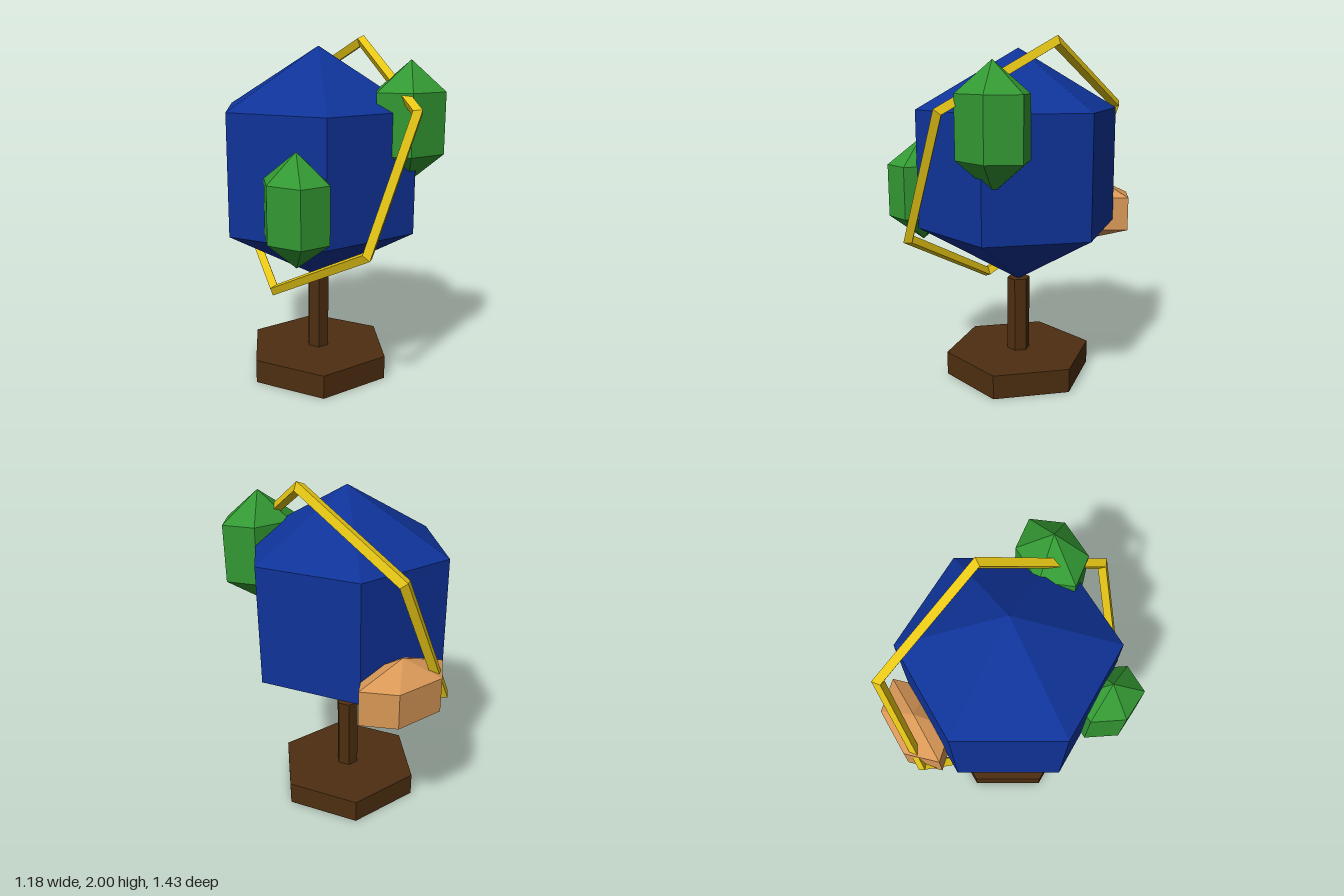
import * as THREE from 'three';

const paint = (name, color) => {
  const material = new THREE.MeshStandardMaterial({ color });
  material.name = name;
  return material;
};

// Split shared vertices so every face is flat
const faceted = (geometry) => {
  const g = geometry.toNonIndexed();
  g.computeVertexNormals();
  return g;
};

// Six-sided, three-band gem shape with corners on the x axis
const gem = (rx, ry, rz) => faceted(new THREE.SphereGeometry(1, 6, 3).scale(rx, ry, rz));

// Hexagonal prism with corners on the x axis
const hexPrism = (radius, height) =>
  faceted(new THREE.CylinderGeometry(radius, radius, height, 6).rotateY(Math.PI / 2));

export function createModel() {
  const model = new THREE.Group();
  model.name = 'globe on stand';

  const ocean = paint('ocean blue', 0x0f3399);
  const forest = paint('forest green', 0x339933);
  const desert = paint('desert tan', 0xd99857);
  const gold = paint('gold', 0xe6c615);
  const wood = paint('dark wood', 0x4d2e10);

  const centreY = 1.26;
  const centreZ = 0.016;
  const add = (name, geometry, material, x, y, z) => {
    const mesh = new THREE.Mesh(geometry, material);
    mesh.name = name;
    mesh.position.set(x, y, z);
    model.add(mesh);
    return mesh;
  };

  // Stand
  add('base', hexPrism(0.44, 0.14), wood, 0, 0.07, centreZ);
  add('post', hexPrism(0.068, 0.46), wood, 0, 0.36, centreZ);

  // Globe
  add('globe', gem(0.68, 0.68, 0.68), ocean, 0, centreY, centreZ);

  // Land masses partly sunk into the globe
  add('leftContinent', gem(0.271, 0.335, 0.204), forest, 0.305, 1.535, 0.455);
  add('rightContinent', gem(0.2, 0.305, 0.236), forest, -0.408, 1.125, 0.42);
  add('backContinent', gem(0.335, 0.202, 0.202), desert, 0.068, 0.953, -0.562);

  // Tilted hexagonal ring, corners at top and bottom
  const ring = new THREE.TorusGeometry(0.77, 0.035, 4, 6).rotateZ(Math.PI / 2).rotateY(Math.PI / 2);
  const meridian = add('meridianRing', faceted(ring), gold, 0, centreY, centreZ);
  meridian.rotation.z = -THREE.MathUtils.degToRad(23.4);

  return model;
}
